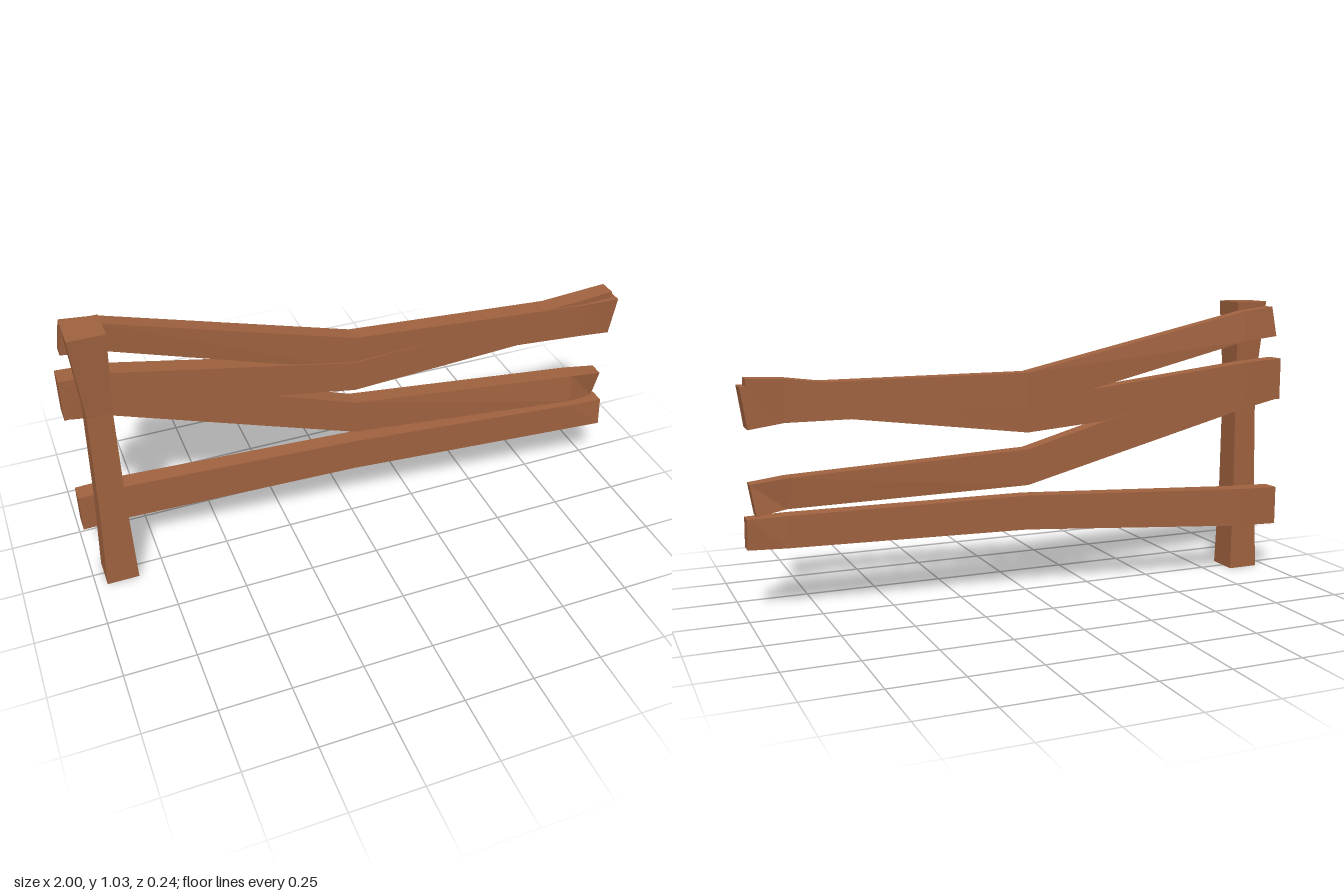
import * as THREE from 'three';

const wood = new THREE.MeshStandardMaterial({ color: 0xa0623f, flatShading: true });

// Skin a run of four-cornered sections, closing both ends
function loft(name, rings) {
  const pos = [];
  const quad = (a, b, c, d) => [a, b, c, a, c, d].forEach((p) => pos.push(...p));
  for (let i = 0; i < rings.length - 1; i++) {
    for (let j = 0; j < 4; j++) {
      const k = (j + 1) % 4;
      quad(rings[i][j], rings[i][k], rings[i + 1][k], rings[i + 1][j]);
    }
  }
  const last = rings[rings.length - 1];
  quad(rings[0][3], rings[0][2], rings[0][1], rings[0][0]);
  quad(last[0], last[1], last[2], last[3]);
  const geo = new THREE.BufferGeometry();
  geo.setAttribute('position', new THREE.Float32BufferAttribute(pos, 3));
  geo.computeVertexNormals();
  const mesh = new THREE.Mesh(geo, wood);
  mesh.name = name;
  return mesh;
}

// Rail station: x, bottom, top, back z, front z, end slant in x, twist in z
const railRing = ([x, y0, y1, z0, z1, slant = 0, twist = 0]) => [
  [x - slant, y0, z0 - twist],
  [x + slant, y1, z0 + twist],
  [x + slant, y1, z1 + twist],
  [x - slant, y0, z1 - twist],
];

// Post station: y, left x, right x, back z, front z
const postRing = ([y, x0, x1, z0, z1]) => [
  [x0, y, z1], [x1, y, z1], [x1, y, z0], [x0, y, z0],
];

const rails = {
  topRail: [
    [-0.97, 0.905, 1.015, -0.111, -0.062, 0.008, 0.005],
    [-0.84, 0.89, 1.0, -0.115, -0.062, 0, 0.004],
    [0, 0.67, 0.8, -0.03, 0.03],
    [0.85, 0.66, 0.79, 0.045, 0.115],
    [0.985, 0.645, 0.787, 0.036, 0.114, 0.01, 0.003],
  ],
  upperCrossRail: [
    [-1, 0.665, 0.82, -0.118, -0.045],
    [-0.84, 0.67, 0.81, -0.12, -0.055],
    [0, 0.585, 0.7, -0.025, 0.035],
    [0.85, 0.69, 0.808, 0.045, 0.108],
    [0.975, 0.69, 0.813, 0.04, 0.1],
  ],
  lowerCrossRail: [
    [-0.98, 0.665, 0.8, -0.115, -0.045],
    [-0.84, 0.637, 0.78, -0.12, -0.055],
    [0, 0.395, 0.525, -0.03, 0.03],
    [0.85, 0.365, 0.473, 0.045, 0.108, 0, -0.005],
    [0.965, 0.35, 0.458, 0.041, 0.094, 0.008, 0.008],
  ],
  bottomRail: [
    [-1, 0.18, 0.323, -0.115, -0.05],
    [-0.84, 0.185, 0.328, -0.115, -0.05],
    [0, 0.23, 0.355, -0.025, 0.035],
    [0.85, 0.23, 0.342, 0.045, 0.11],
    [0.985, 0.23, 0.338, 0.063, 0.118, 0, -0.004],
  ],
};

export function createModel() {
  const fence = new THREE.Group();
  fence.name = 'brokenFence';

  // Square post, pinched at the waist
  fence.add(loft('post', [
    [0, -0.96, -0.845, -0.055, 0.062],
    [0.33, -0.946, -0.852, -0.048, 0.052],
    [0.72, -0.938, -0.852, -0.045, 0.048],
    [1.033, -0.965, -0.84, -0.06, 0.067],
  ].map(postRing)));

  // Sagging rails nailed behind the post
  for (const [name, stations] of Object.entries(rails)) {
    fence.add(loft(name, stations.map(railRing)));
  }
  return fence;
}
